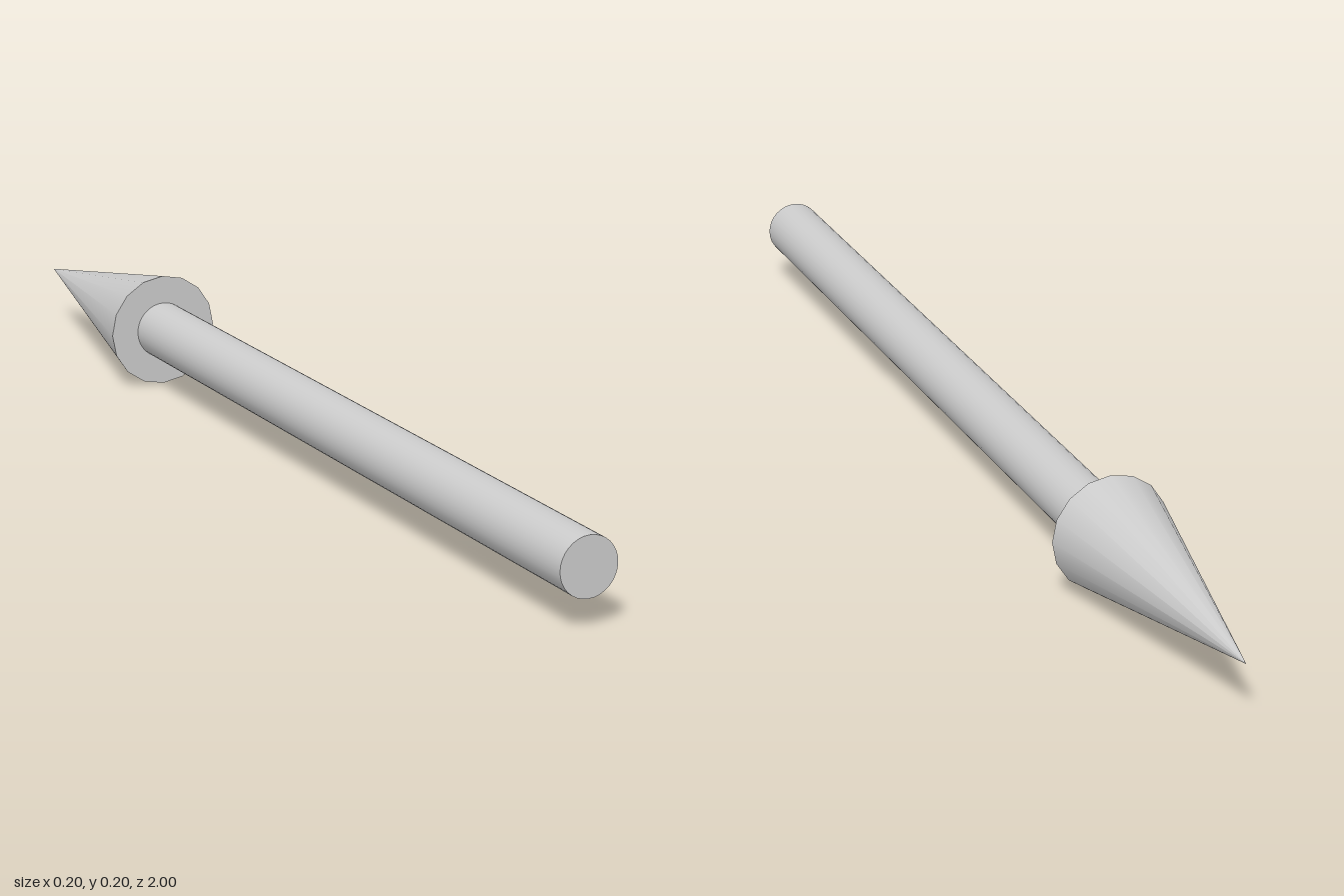
import * as THREE from 'three';

export function createModel() {
  const arrow = new THREE.Group();
  arrow.name = 'arrow';
  const grey = new THREE.MeshStandardMaterial({ color: 0xcccccc });

  // Lays an upright geometry along -z, on the arrow's axis
  const addPart = (name, geometry, z) => {
    const part = new THREE.Mesh(geometry.rotateX(-Math.PI / 2), grey);
    part.name = name;
    part.position.set(0, 0.1, z);
    arrow.add(part);
  };

  // Round shaft, from the tail to the base of the head
  addPart('shaft', new THREE.CylinderGeometry(0.05, 0.05, 1.5, 32), 0.25);
  // Sixteen-sided pointed head
  addPart('head', new THREE.ConeGeometry(0.1, 0.5, 16), -0.75);

  return arrow;
}
